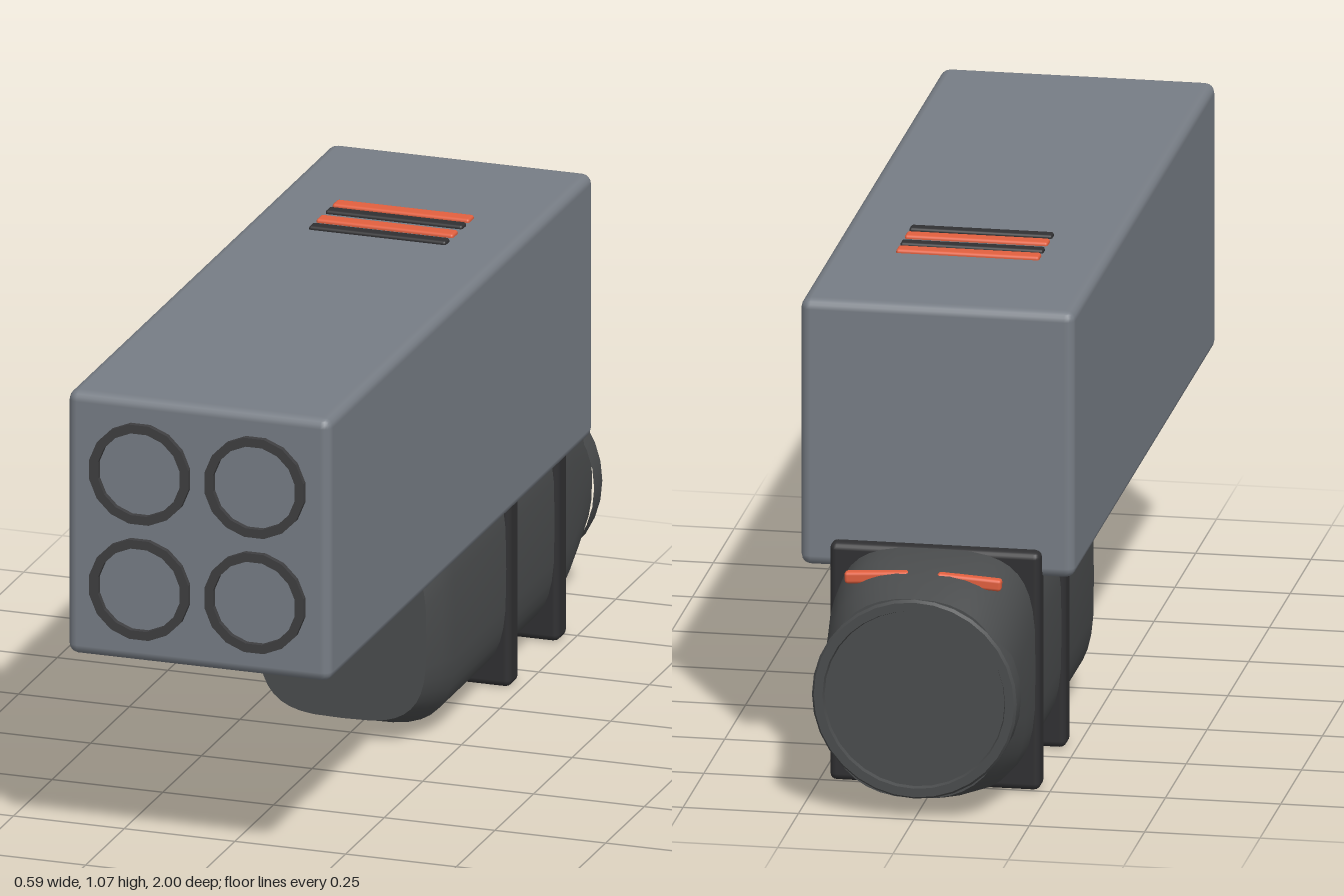
import * as THREE from 'three';
import { RoundedBoxGeometry } from 'three/addons/geometries/RoundedBoxGeometry.js';
import { toCreasedNormals } from 'three/addons/utils/BufferGeometryUtils.js';

const mat = (color) => new THREE.MeshStandardMaterial({ color });

// Loft of superellipse sections, listed back to front: [z, centreY, halfWidth, halfHeight, power]
function loft(sections, sides = 40) {
  const pos = [], index = [];
  const bend = (v, p) => Math.sign(v) * Math.pow(Math.abs(v), 2 / p);
  for (const [z, cy, w, h, p] of sections) {
    for (let j = 0; j < sides; j++) {
      const a = (j / sides) * Math.PI * 2;
      pos.push(w * bend(Math.cos(a), p), cy + h * bend(Math.sin(a), p), z);
    }
  }
  const last = sections.length - 1, backCentre = pos.length / 3;
  pos.push(0, sections[0][1], sections[0][0], 0, sections[last][1], sections[last][0]);
  for (let j = 0; j < sides; j++) {
    const k = (j + 1) % sides;
    for (let i = 0; i < last; i++) {
      const a = i * sides + j, b = i * sides + k;
      index.push(a, b, a + sides, b, b + sides, a + sides);
    }
    index.push(backCentre, k, j, backCentre + 1, last * sides + j, last * sides + k);
  }
  const geo = new THREE.BufferGeometry();
  geo.setAttribute('position', new THREE.Float32BufferAttribute(pos, 3));
  geo.setIndex(index);
  return toCreasedNormals(geo, 0.4);
}

export function createModel() {
  const model = new THREE.Group();
  const grey = mat(0x777d85), dark = mat(0x4a4c4d), black = mat(0x303032);
  const ringMat = mat(0x3e3e40), orange = mat(0xe2603f);

  const add = (name, geo, material, x = 0, y = 0, z = 0) => {
    const mesh = new THREE.Mesh(geo, material);
    mesh.name = name;
    mesh.position.set(x, y, z);
    model.add(mesh);
    return mesh;
  };
  const block = (name, material, w, h, d, r, x, y, z) =>
    add(name, new RoundedBoxGeometry(w, h, d, 2, r), material, x, y, z);

  // Long launcher box
  block('launcherBox', grey, 0.594, 0.594, 1.71, 0.022, 0, 0.765, 0.132);

  // Four tube rims on the front
  const rim = new THREE.Shape();
  const hole = new THREE.Path();
  const sides = 16;
  for (let i = 0; i < sides; i++) {
    const a = ((i + 0.5) / sides) * Math.PI * 2;
    for (const [path, r] of [[rim, 0.114], [hole, 0.094]]) {
      path[i ? 'lineTo' : 'moveTo'](r * Math.cos(a), r * Math.sin(a));
    }
  }
  rim.closePath();
  hole.closePath();
  rim.holes.push(hole);
  const rimGeo = new THREE.ExtrudeGeometry(rim, { depth: 0.03, bevelEnabled: false });
  for (const x of [-0.13, 0.13])
    for (const y of [0.635, 0.895]) add('tubeRim', rimGeo, ringMat, x, y, 0.97);

  // Stripes on the top
  [-0.34, -0.293, -0.236, -0.185].forEach((z, i) => {
    const isOrange = i % 2 === 0;
    block('topStripe', isOrange ? orange : black, 0.31, 0.03, isOrange ? 0.036 : 0.03, 0.006, 0, 1.055, z);
  });

  // Mount between box and pod
  block('mount', black, 0.31, 0.2, 0.75, 0.02, 0, 0.453, -0.27);

  // Pod body, tapered at both ends
  add('podBody', loft([
    [-0.99, 0.268, 0.2, 0.222, 2.4],
    [-0.93, 0.27, 0.207, 0.24, 2.7],
    [-0.84, 0.272, 0.216, 0.257, 3.3],
    [-0.75, 0.272, 0.219, 0.257, 3.6],
    [-0.05, 0.268, 0.219, 0.254, 3.6],
    [0.0, 0.263, 0.208, 0.23, 3.5],
    [0.055, 0.253, 0.19, 0.202, 3.4],
  ]), dark);

  // Square collars around the pod
  for (const z of [-0.409, -0.722])
    block('collar', black, 0.456, 0.53, 0.062, 0.015, 0, 0.266, z);

  // Round rear cap: rim with a slightly sunken disc
  const capGeo = new THREE.LatheGeometry([
    [0, 0.05], [0.195, 0.05], [0.198, 0.06], [0.217, 0.06], [0.222, 0.053], [0.222, 0],
  ].reverse().map(([r, y]) => new THREE.Vector2(r, y)), 32);
  add('rearCap', toCreasedNormals(capGeo, 0.5), dark, 0, 0.268, -0.94).rotation.x = -Math.PI / 2;

  // Rear markers, partly sunk into the pod
  for (const s of [-1, 1]) {
    const marker = block('rearMarker', orange, 0.14, 0.026, 0.024, 0.007, s * 0.1, 0.503, -0.885);
    marker.rotation.z = -s * 0.06;
  }
  return model;
}
